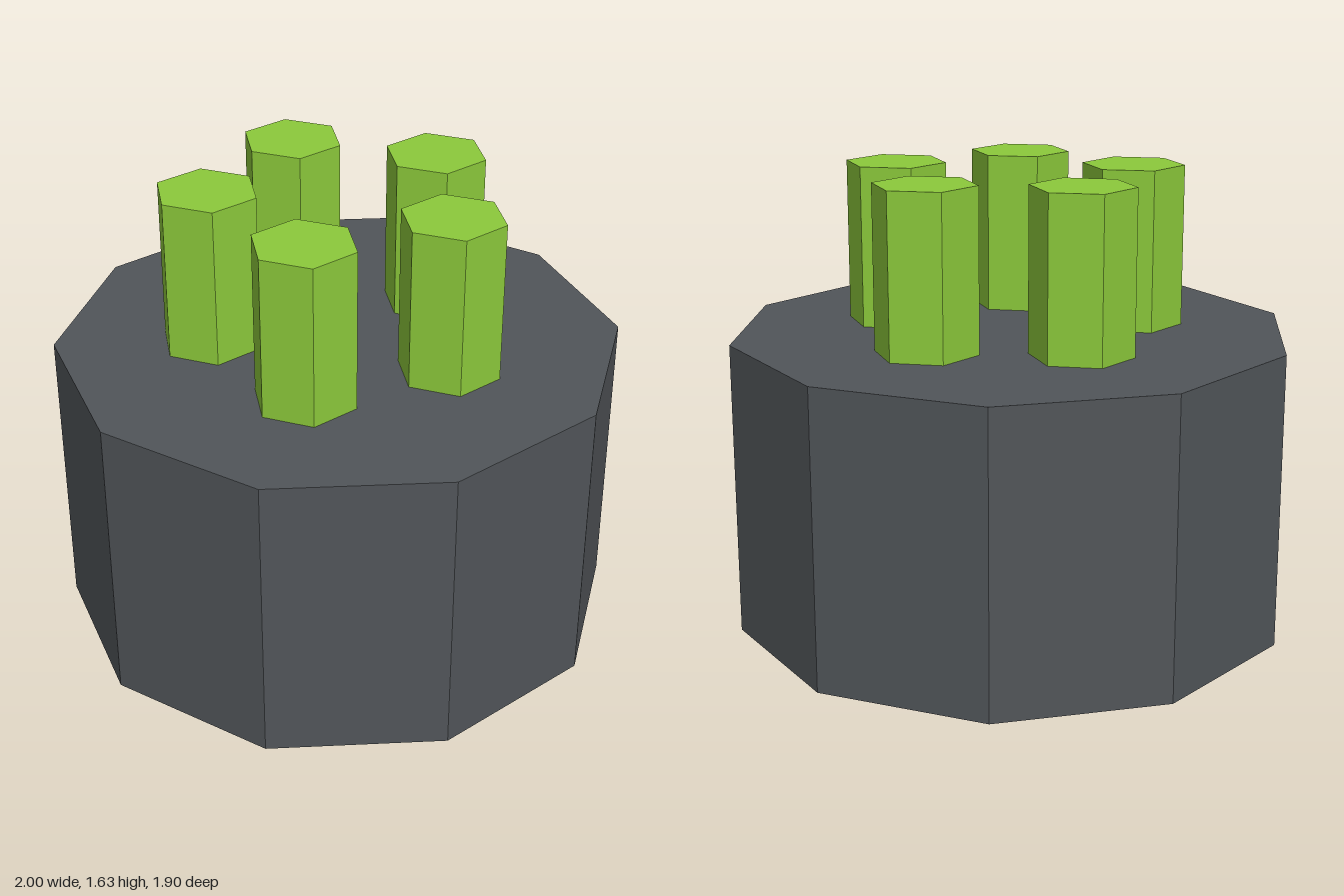
import * as THREE from 'three';

const BASE_HEIGHT = 1.055;
const PEG_HEIGHT = 0.575;
const PEG_COUNT = 5;
const PEG_RING = 0.445;

// Upright prism standing on its origin, with one corner pointing along +x
function prism(name, radius, height, sides, material) {
  const geometry = new THREE.CylinderGeometry(radius, radius, height, sides, 1, false, Math.PI / 2);
  geometry.translate(0, height / 2, 0);
  const mesh = new THREE.Mesh(geometry, material);
  mesh.name = name;
  return mesh;
}

export function createModel() {
  const darkGrey = new THREE.MeshStandardMaterial({ color: 0x515559, flatShading: true });
  darkGrey.name = 'dark grey';
  const limeGreen = new THREE.MeshStandardMaterial({ color: 0x8cc93b, flatShading: true });
  limeGreen.name = 'lime green';

  const model = new THREE.Group();
  model.name = 'peggedBase';

  // Ten-sided base
  model.add(prism('base', 1, BASE_HEIGHT, 10, darkGrey));

  // Ring of hexagonal pegs, all facing the same way
  const pegs = new THREE.Group();
  pegs.name = 'pegs';
  for (let i = 0; i < PEG_COUNT; i++) {
    const angle = (i / PEG_COUNT) * Math.PI * 2;
    const peg = prism(`peg${i + 1}`, 0.182, PEG_HEIGHT, 6, limeGreen);
    peg.position.set(Math.cos(angle) * PEG_RING, BASE_HEIGHT, Math.sin(angle) * PEG_RING);
    pegs.add(peg);
  }
  model.add(pegs);

  return model;
}
